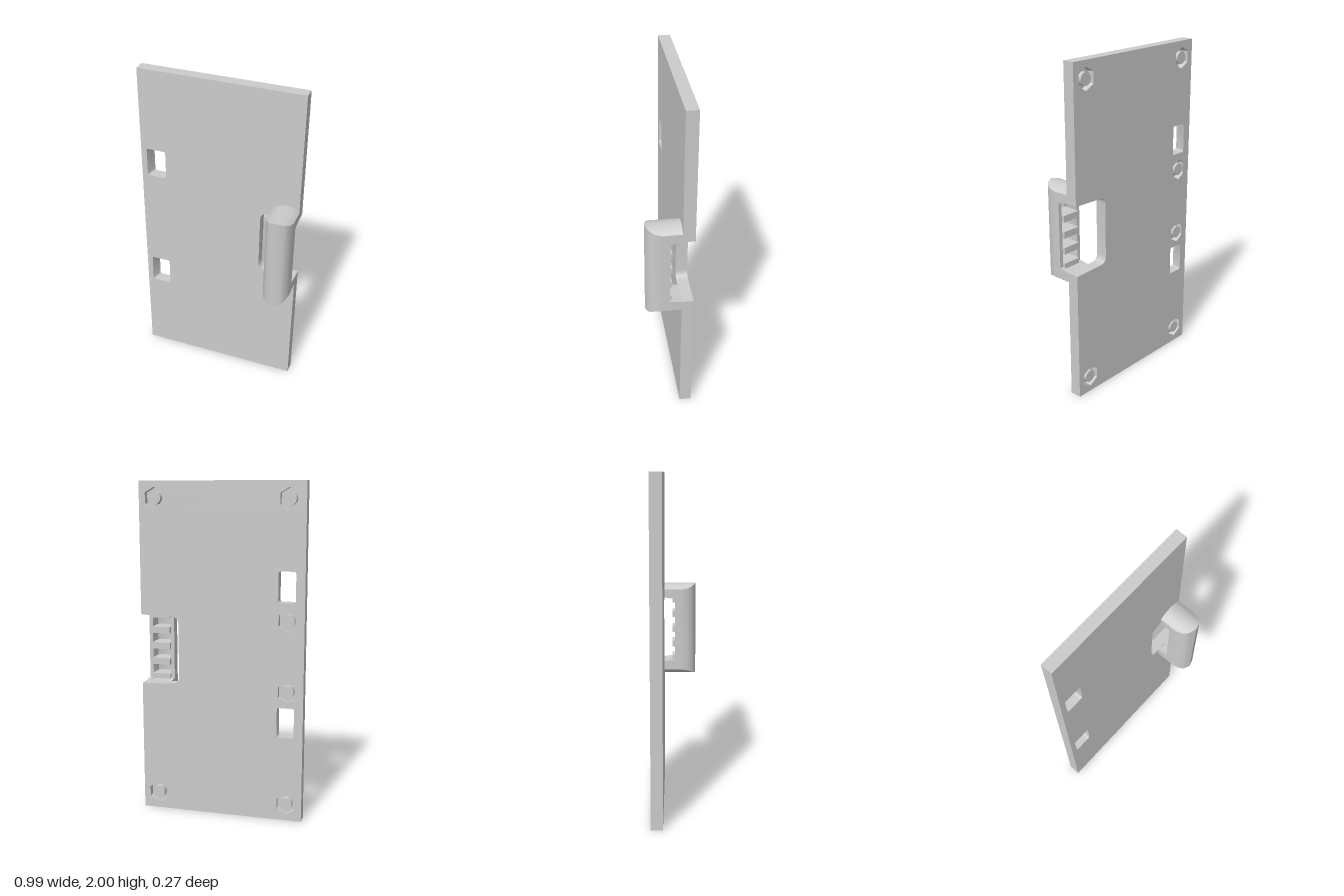
import * as THREE from 'three';
import { toCreasedNormals } from 'three/addons/utils/BufferGeometryUtils.js';

const BACK = -0.137, FRONT = -0.067, POCKET = 0.04;
const material = new THREE.MeshStandardMaterial({ color: 0xcccccc });

function part(name, geometry, parent) {
  const mesh = new THREE.Mesh(geometry, material);
  mesh.name = name;
  parent.add(mesh);
  return mesh;
}

// Rectangular slot with small rounded corners
function slotPath(x0, x1, y0, y1, r) {
  const p = new THREE.Path();
  p.moveTo(x0 + r, y0);
  p.lineTo(x1 - r, y0).quadraticCurveTo(x1, y0, x1, y0 + r);
  p.lineTo(x1, y1 - r).quadraticCurveTo(x1, y1, x1 - r, y1);
  p.lineTo(x0 + r, y1).quadraticCurveTo(x0, y1, x0, y1 - r);
  p.lineTo(x0, y0 + r).quadraticCurveTo(x0, y0, x0 + r, y0);
  return p;
}

// Door outline with the hand notch in its left edge
function doorShape() {
  const s = new THREE.Shape();
  const r = 0.045;
  s.moveTo(-0.495, 0);
  s.lineTo(0.493, 0);
  s.lineTo(0.493, 0.795);
  s.lineTo(0.26 + r, 0.8);
  s.quadraticCurveTo(0.26, 0.8, 0.26, 0.8 + r);
  s.lineTo(0.26, 1.21 - r);
  s.quadraticCurveTo(0.26, 1.21, 0.26 + r, 1.21);
  s.lineTo(0.493, 1.215);
  s.lineTo(0.493, 2);
  s.lineTo(-0.495, 2);
  s.closePath();
  for (const y of [0.605, 1.405]) s.holes.push(slotPath(-0.46, -0.34, y - 0.09, y + 0.09, 0.015));
  return s;
}

// Extrudes one layer of the door and slants the outer wall of each slot
function doorLayer(shape, z0, z1) {
  const g = new THREE.ExtrudeGeometry(shape, { depth: z1 - z0, bevelEnabled: false, curveSegments: 5 });
  g.translate(0, 0, z0);
  const p = g.attributes.position;
  for (let i = 0; i < p.count; i++) {
    const x = p.getX(i), y = p.getY(i);
    const inSlot = Math.min(Math.abs(y - 0.605), Math.abs(y - 1.405)) < 0.095;
    if (inSlot && x > -0.47 && x < -0.42) p.setX(i, x + 0.018 * (FRONT - p.getZ(i)) / (FRONT - BACK));
  }
  g.computeVertexNormals();
  return toCreasedNormals(g, 0.6);
}

// Handle lofted across its width from C-shaped sections, hollow at the back of the grip
function handleGeometry() {
  const half = 0.08, cx = 0.413;
  const offsets = [-0.08, -0.071, -0.058, -0.055, -0.04, 0, 0.04, 0.055, 0.058, 0.071, 0.08];
  const rings = offsets.map((d) => {
    const t = d / half;
    const front = 0.04 + 0.095 * Math.sqrt(Math.max(0, 1 - t * t));
    const drop = 0.035 * t * t;
    const inner = Math.abs(d) < 0.056 ? front - 0.025 : 0;
    return [
      [FRONT, 1.3 - drop], [front, 1.3 - drop], [front, 0.705 + drop], [FRONT, 0.705 + drop],
      [FRONT, 0.795], [inner, 0.805], [inner, 1.205], [FRONT, 1.215],
    ].map(([z, y]) => [cx + d, y, z]);
  });
  const pos = [];
  const quad = (a, b, c, d) => pos.push(...a, ...b, ...c, ...a, ...c, ...d);
  for (let i = 0; i < rings.length - 1; i++) {
    for (let j = 0; j < 8; j++) {
      const k = (j + 1) % 8;
      quad(rings[i][j], rings[i][k], rings[i + 1][k], rings[i + 1][j]);
    }
  }
  // side faces
  const first = rings[0], last = rings[rings.length - 1];
  for (const [a, b, c, d] of [[0, 1, 6, 7], [1, 2, 5, 6], [2, 3, 4, 5]]) {
    quad(last[a], last[b], last[c], last[d]);
    quad(first[d], first[c], first[b], first[a]);
  }
  const g = new THREE.BufferGeometry();
  g.setAttribute('position', new THREE.Float32BufferAttribute(pos, 3));
  g.computeVertexNormals();
  return toCreasedNormals(g, 0.6);
}

export function createModel() {
  const model = new THREE.Group();
  model.name = 'doorPanel';

  const pockets = [[0.4, 0.1], [0.4, 1.9], [-0.4, 0.1], [-0.4, 0.79], [-0.4, 1.21], [-0.4, 1.9]];

  // Front skin, and back layer with hexagonal pockets
  part('frontSkin', doorLayer(doorShape(), BACK + POCKET, FRONT), model);
  const backShape = doorShape();
  for (const [x, y] of pockets) {
    const hex = [];
    for (let i = 0; i < 6; i++) {
      const a = (i + 0.5) * Math.PI / 3;
      hex.push(new THREE.Vector2(x + 0.064 * Math.cos(a), y + 0.064 * Math.sin(a)));
    }
    backShape.holes.push(new THREE.Path(hex));
  }
  part('backLayer', doorLayer(backShape, BACK, BACK + POCKET), model);

  // Round posts inside the pockets
  const post = new THREE.CylinderGeometry(0.038, 0.038, POCKET, 12).rotateX(Math.PI / 2);
  for (const [x, y] of pockets) part('pocketPost', post, model).position.set(x, y, BACK + POCKET / 2 + 0.002);

  // Handle with finger ribs in its hollow back
  const handle = new THREE.Group();
  handle.name = 'handle';
  model.add(handle);
  part('grip', handleGeometry(), handle);
  const rib = new THREE.BoxGeometry(0.112, 0.04, 0.115);
  for (let i = 0; i < 5; i++) part('gripRib', rib, handle).position.set(0.413, 0.81 + i * 0.0975, 0.0425);

  return model;
}
